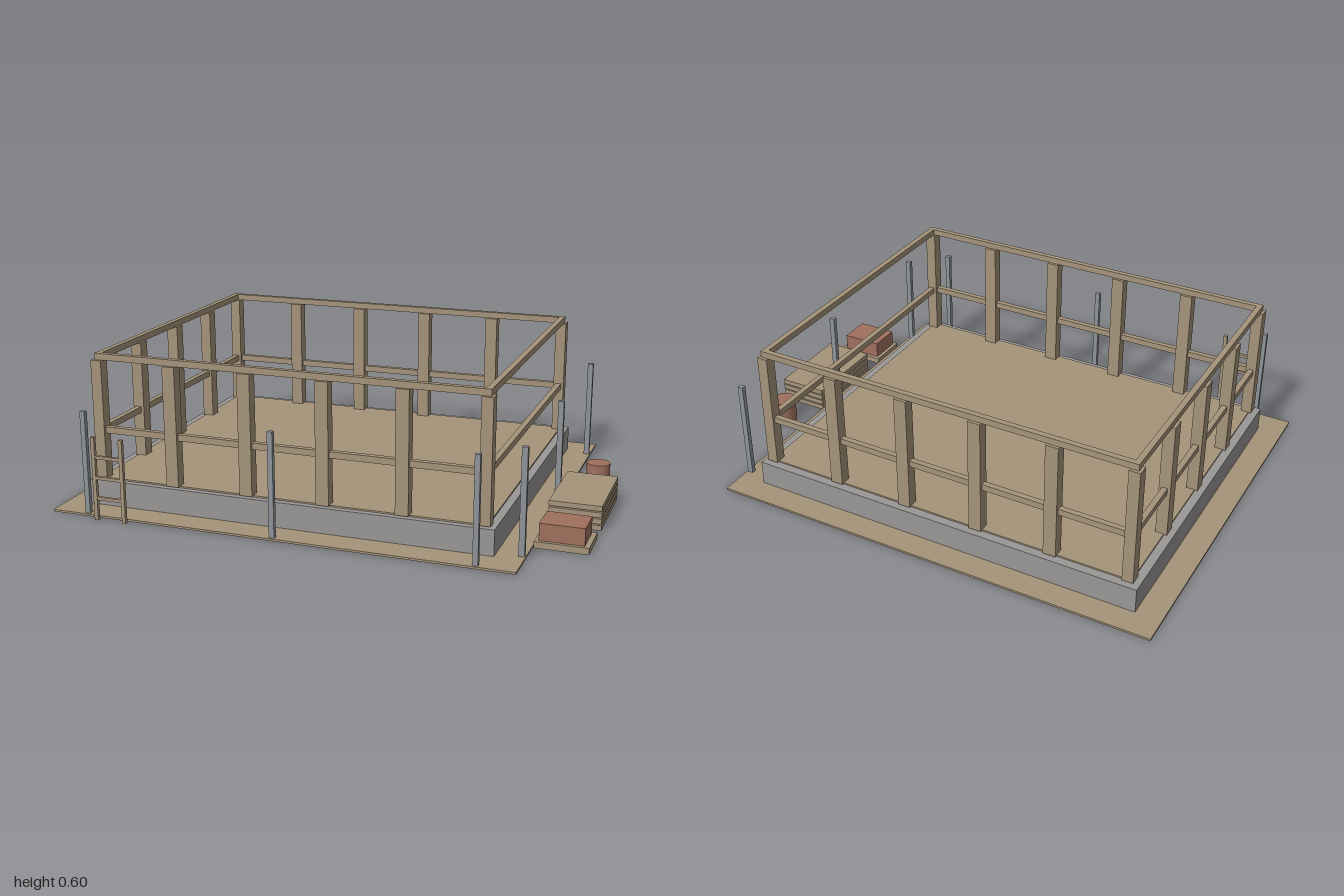
import * as THREE from 'three';

const material = (name, color) => Object.assign(new THREE.MeshStandardMaterial({ color }), { name });

export function createModel() {
  const wood = material('wood', 0xa5947a);
  const concrete = material('concrete', 0x999896);
  const steel = material('steel', 0x90959a);
  const brick = material('brick red', 0xa0705e);
  const model = new THREE.Group();
  model.name = 'buildingFrame';

  // Box given by its limits on each axis
  const box = (name, mat, [x0, x1], [y0, y1], [z0, z1]) => {
    const mesh = new THREE.Mesh(new THREE.BoxGeometry(x1 - x0, y1 - y0, z1 - z0), mat);
    mesh.position.set((x0 + x1) / 2, (y0 + y1) / 2, (z0 + z1) / 2);
    mesh.name = name;
    model.add(mesh);
    return mesh;
  };
  const around = (centre, size) => [centre - size / 2, centre + size / 2];

  // Ground, foundation and floor
  box('groundPlate', wood, [-1, 0.8], [0, 0.008], [-0.775, 0.735]);
  box('foundation', concrete, [-0.9, 0.695], [0.004, 0.106], [-0.675, 0.625]);
  box('floor', wood, [-0.866, 0.664], [0.1, 0.112], [-0.641, 0.601]);

  // Wall lines and post spacing
  const left = 0.655, right = -0.855, front = 0.59, back = -0.63;
  const postY = [0.11, 0.575];
  for (let i = 0; i <= 5; i++) {
    const x = right + (i * (left - right)) / 5;
    const corner = i === 0 || i === 5;
    for (const z of [front, back]) {
      box(corner ? 'cornerPost' : 'wallPost', wood, around(x, corner ? 0.043 : 0.05), postY, around(z, 0.045));
    }
  }
  for (let i = 1; i <= 3; i++) {
    box('sidePost', wood, around(right, 0.045), postY, around(back + (i * (front - back)) / 4, 0.05));
  }

  // Middle and top rails on all four walls
  for (const [name, y] of [['middleRail', [0.29, 0.315]], ['topRail', [0.575, 0.6]]]) {
    for (const z of [front, back]) box(name, wood, [right - 0.011, left + 0.011], y, around(z, 0.022));
    for (const x of [right, left]) box(name, wood, around(x, 0.022), y, [back + 0.011, front - 0.011]);
  }

  // Scaffold poles along two sides
  for (const x of [-0.855, -0.1, 0.655]) box('frontPole', steel, around(x, 0.02), [0.008, 0.407], around(0.718, 0.018));
  for (const z of [-0.635, -0.02, 0.585]) box('sidePole', steel, around(0.785, 0.022), [0.008, 0.407], around(z, 0.018));

  // Ladder
  for (const x of [-0.791, -0.676]) box('ladderRail', wood, around(x, 0.015), [0.004, 0.327], around(0.765, 0.014));
  for (const y of [0.09, 0.17, 0.25]) box('ladderRung', wood, [-0.784, -0.683], around(y, 0.012), around(0.765, 0.012));

  // Stacked planks
  for (let i = 0; i < 4; i++) {
    box('plank', wood, [0.802, 1], [i * 0.025, i * 0.025 + 0.02], [-0.117, 0.238]);
  }

  // Bricks on a pallet
  box('pallet', wood, [0.802, 1], [0, 0.025], [0.322, 0.482]);
  box('brickStack', brick, [0.817, 0.982], [0.025, 0.091], [0.338, 0.468]);

  // Barrel
  const barrel = new THREE.Mesh(new THREE.CylinderGeometry(0.047, 0.047, 0.1, 24), brick);
  barrel.position.set(0.9, 0.05, -0.25);
  barrel.name = 'barrel';
  model.add(barrel);

  return model;
}
